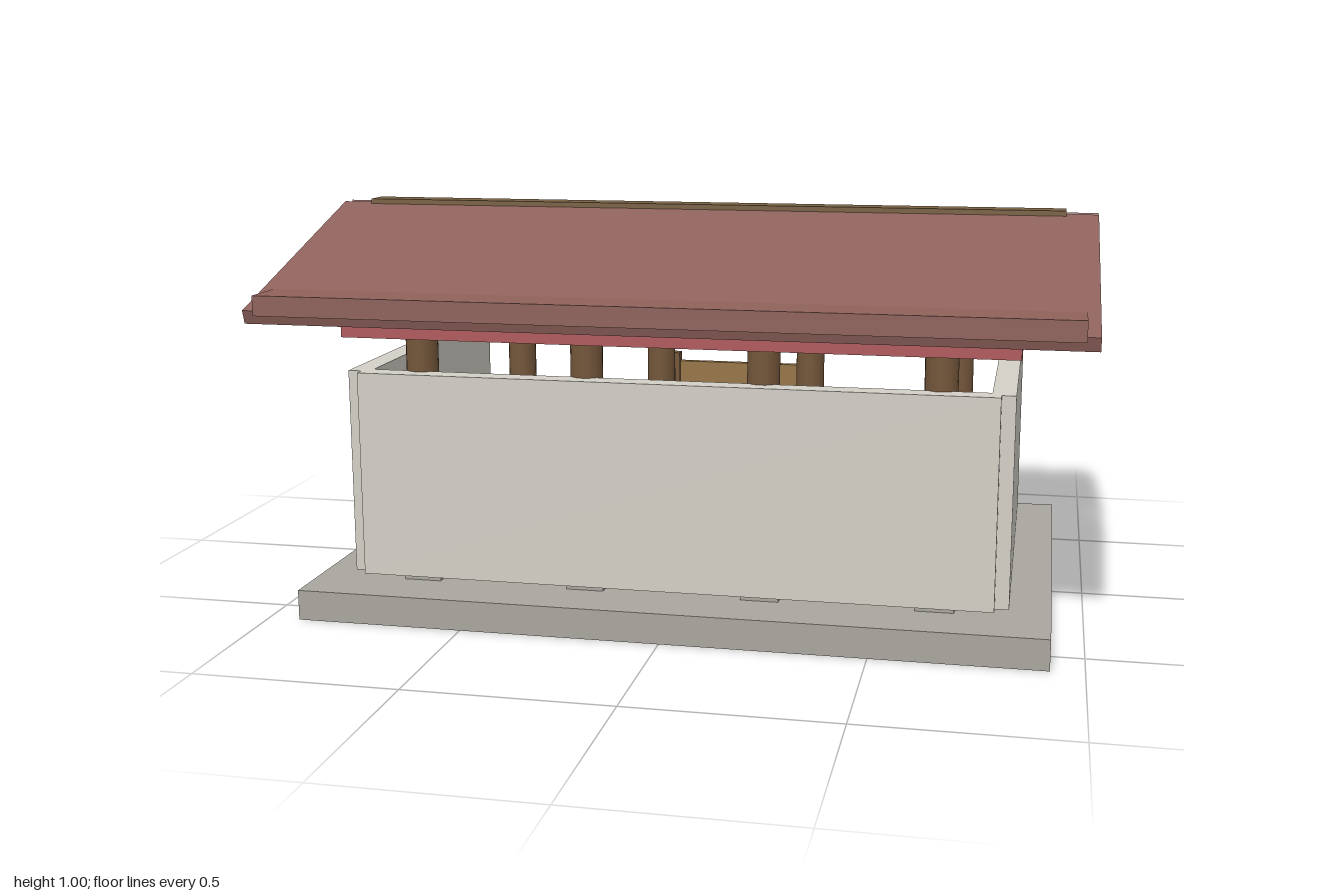
import * as THREE from 'three';

const material = (color) => new THREE.MeshStandardMaterial({ color });

export function createModel() {
  const model = new THREE.Group();
  model.name = 'pavilion';

  const stone = material(0xaaa69f);
  const plaster = material(0xd4d0c7);
  const timber = material(0x73563a);
  const panelWood = material(0x967648);
  const redBeam = material(0xb05a5c);
  const roofTile = material(0x8f625b);
  const ridgeWood = material(0x7a6244);

  // Box given by its extents on each axis
  function box(name, mat, [x0, x1], [y0, y1], [z0, z1]) {
    const mesh = new THREE.Mesh(new THREE.BoxGeometry(x1 - x0, y1 - y0, z1 - z0), mat);
    mesh.position.set((x0 + x1) / 2, (y0 + y1) / 2, (z0 + z1) / 2);
    mesh.name = name;
    model.add(mesh);
    return mesh;
  }
  const around = (c, half) => [c - half, c + half];

  // Stone platform
  box('platform', stone, [-0.92, 0.92], [0, 0.076], [-0.6, 0.6]);

  // Walls on three sides, the back is open
  const wallY = [0.095, 0.612];
  box('frontWall', plaster, [-0.787, 0.787], wallY, [0.435, 0.491]);
  for (const side of [-1, 1]) {
    box('sideWall', plaster, around(side * 0.793, 0.028), wallY, [-0.463, 0.463]);
  }

  // Columns on square plinths, with a long beam over each row
  const columnGeometry = new THREE.CylinderGeometry(0.04, 0.04, 0.65, 20);
  for (const side of [-1, 1]) {
    for (const x of [-0.645, -0.22, 0.22, 0.645]) {
      box('plinth', stone, around(x, 0.047), [0.076, 0.097], around(side * 0.41, 0.047));
      const column = new THREE.Mesh(columnGeometry, timber);
      column.position.set(x, 0.42, side * 0.41);
      column.name = 'column';
      model.add(column);
    }
    box('eaveBeam', redBeam, [-0.83, 0.83], [0.698, 0.752], around(side * 0.446, 0.032));
  }

  // Door at the back between two posts
  box('door', panelWood, [-0.18, 0.18], [0.076, 0.495], around(-0.47, 0.01));
  for (const side of [-1, 1]) {
    box('doorPost', timber, around(side * 0.192, 0.017), [0.076, 0.52], around(-0.47, 0.017));
  }

  // Standing screen inside, near the front wall
  box('screen', panelWood, [-0.235, 0.235], [0.076, 0.5], around(0.31, 0.014));

  // Ceiling slab and two sloping roof panels
  box('ceilingSlab', roofTile, [-0.97, 0.97], [0.775, 0.824], [-0.666, 0.666]);
  for (const side of [-1, 1]) {
    const panel = box('roofPanel', roofTile, [-1, 1], around(0.873, 0.0175), around(side * 0.336, 0.334));
    panel.rotation.x = side * THREE.MathUtils.degToRad(18);
  }

  // Ridge beam
  box('ridge', ridgeWood, [-0.92, 0.92], [0.948, 1.002], [-0.036, 0.036]);

  return model;
}
